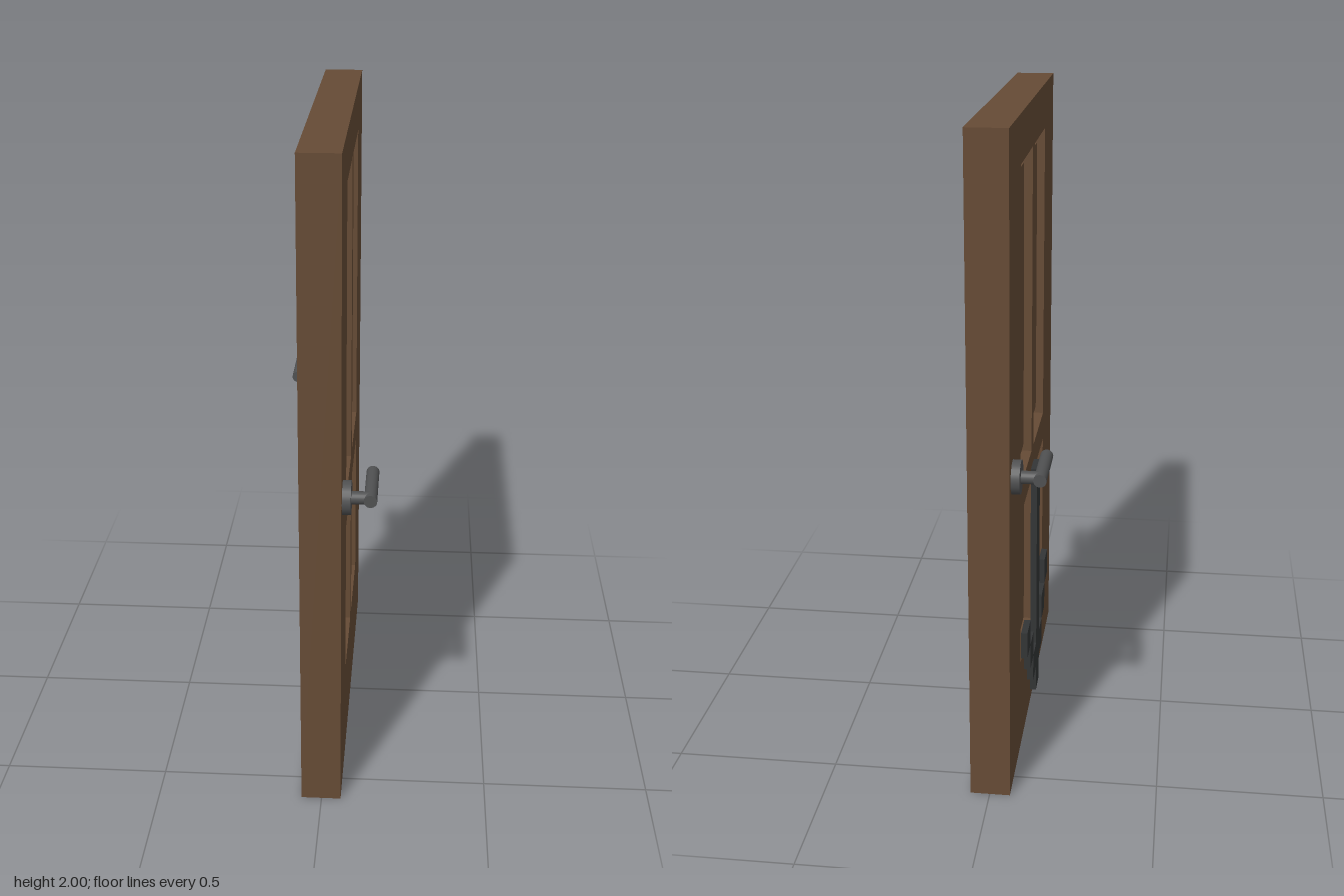
import * as THREE from 'three';

const mat = (name, color) => {
  const m = new THREE.MeshStandardMaterial({ color });
  m.name = name;
  return m;
};

// Rectangle (optionally rounded) traced in the door plane: shape x = world z, shape y = world y
function tracePanel(path, [z0, z1, y0, y1], r = 0) {
  if (!r) {
    path.moveTo(z0, y0).lineTo(z1, y0).lineTo(z1, y1).lineTo(z0, y1).closePath();
    return path;
  }
  path.moveTo(z0 + r, y0);
  path.lineTo(z1 - r, y0).quadraticCurveTo(z1, y0, z1, y0 + r);
  path.lineTo(z1, y1 - r).quadraticCurveTo(z1, y1, z1 - r, y1);
  path.lineTo(z0 + r, y1).quadraticCurveTo(z0, y1, z0, y1 - r);
  path.lineTo(z0, y0 + r).quadraticCurveTo(z0, y0, z0 + r, y0);
  return path;
}

// Extrude a door-plane shape across x, centred on the door's middle
function acrossDoor(shape, thickness) {
  const g = new THREE.ExtrudeGeometry(shape, { depth: thickness, bevelEnabled: false, curveSegments: 6 });
  g.translate(0, 0, -thickness / 2);
  g.rotateY(-Math.PI / 2);
  return g;
}

export function createModel() {
  const wood = mat('brown wood', 0x664b35);
  const metal = mat('grey metal', 0x505152);
  const dark = mat('dark arrow', 0x333536);

  const model = new THREE.Group();
  model.name = 'panelledDoor';
  const add = (parent, name, geometry, material) => {
    const m = new THREE.Mesh(geometry, material);
    m.name = name;
    parent.add(m);
    return m;
  };

  const T = 0.12;
  const door = new THREE.Group();
  door.name = 'door';
  door.position.x = -0.0015;
  model.add(door);

  // Frame with four openings, a thin core closing them, and raised fields on both faces
  const recesses = [
    [0.03, 0.333, 0.895, 1.86], [-0.33, -0.027, 0.895, 1.86],
    [0.03, 0.333, 0.3, 0.8], [-0.33, -0.027, 0.3, 0.8],
  ];
  const fields = [
    [0.083, 0.287, 0.935, 1.823], [-0.282, -0.078, 0.935, 1.823],
    [0.066, 0.309, 0.322, 0.775], [-0.305, -0.062, 0.322, 0.775],
  ];
  const outline = tracePanel(new THREE.Shape(), [-0.6, 0.6, 0, 2]);
  for (const r of recesses) outline.holes.push(tracePanel(new THREE.Path(), r));
  add(door, 'doorFrame', acrossDoor(outline, T), wood);
  add(door, 'recessFloor', new THREE.BoxGeometry(0.04, 1.64, 0.76), wood).position.y = 1.08;
  for (const f of fields) {
    add(door, 'raisedPanel', acrossDoor(tracePanel(new THREE.Shape(), f, 0.025), 0.08), wood);
  }

  // Lever handle: rose, stem and lever, built pointing to +x
  function handle(name) {
    const g = new THREE.Group();
    g.name = name;
    const rod = (part, radius, length, axis, x, z) => {
      const geo = new THREE.CylinderGeometry(radius, radius, length, 24);
      if (axis === 'x') geo.rotateZ(-Math.PI / 2);
      else geo.rotateX(Math.PI / 2);
      add(g, part, geo, metal).position.set(x, 0, z);
    };
    rod('handleRose', 0.05, 0.03, 'x', 0.01, 0);
    rod('handleStem', 0.019, 0.06, 'x', 0.052, 0);
    rod('handleLever', 0.019, 0.2, 'z', 0.08, -0.075);
    model.add(g);
    return g;
  }
  handle('leftHandle').position.set(0.0585, 0.995, 0.525);
  const right = handle('rightHandle');
  right.position.set(-0.0615, 1.01, -0.528);
  right.rotation.y = Math.PI;

  // Stepped downward arrow on the -x face, laid out in square cells
  const C = 0.0889, base = 0.04;
  const arrow = new THREE.Group();
  arrow.name = 'arrow';
  arrow.position.x = -0.0715;
  model.add(arrow);
  add(arrow, 'arrowShaft', new THREE.BoxGeometry(0.02, C * 9, C), dark).position.y = base + C * 4.5;
  for (const side of [-1, 1]) {
    for (let i = 1; i <= 3; i++) {
      add(arrow, 'arrowStep', new THREE.BoxGeometry(0.02, C, C), dark)
        .position.set(0, base + C * (i + 0.5), side * i * C);
    }
  }
  return model;
}
